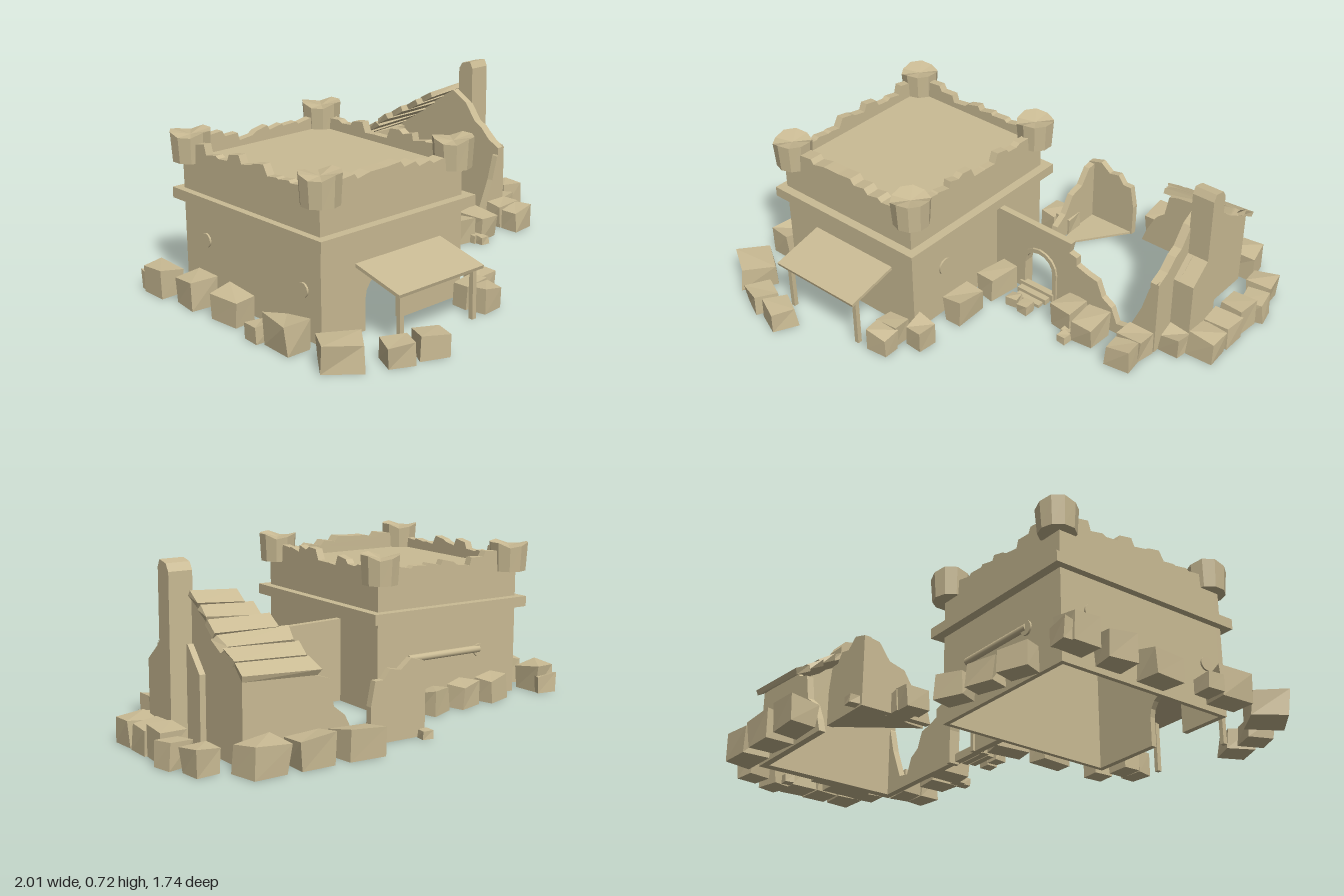
import * as THREE from 'three';

const sandstone = new THREE.MeshStandardMaterial({ color: 0xcabb94 });
sandstone.name = 'sandstone';

export function createModel() {
  const root = new THREE.Group();
  root.name = 'ruinedFort';
  let seed = 7;
  const rnd = () => (seed = (seed * 16807) % 2147483647) / 2147483647;

  const add = (geo, name, parent) => {
    const m = new THREE.Mesh(geo, sandstone);
    m.name = name;
    parent.add(m);
    return m;
  };
  const group = (name) => {
    const g = new THREE.Group();
    g.name = name;
    root.add(g);
    return g;
  };
  const faceted = (geo) => {
    const g = geo.toNonIndexed();
    g.computeVertexNormals();
    return g;
  };
  // box from min and max corners
  const block = (x0, x1, y0, y1, z0, z1, name, parent) => {
    const m = add(new THREE.BoxGeometry(x1 - x0, y1 - y0, z1 - z0), name, parent);
    m.position.set((x0 + x1) / 2, (y0 + y1) / 2, (z0 + z1) / 2);
  };
  // irregular block: each corner pulled inwards, bottom kept level
  const roughGeo = (w, h, d, amount) => {
    const g = new THREE.BoxGeometry(w, h, d);
    const shift = Array.from({ length: 8 }, () => [rnd(), rnd(), rnd()]);
    const p = g.attributes.position;
    for (let i = 0; i < p.count; i++) {
      const [x, y, z] = [p.getX(i), p.getY(i), p.getZ(i)];
      const s = shift[(x > 0 ? 1 : 0) + (y > 0 ? 2 : 0) + (z > 0 ? 4 : 0)];
      p.setXYZ(i, x * (1 - amount * s[0]), y > 0 ? y - h * amount * s[1] : y, z * (1 - amount * s[2]));
    }
    return faceted(g);
  };
  // upright slab from an outline, starting at z = at, or at x = at when it runs along z
  const slab = (pts, at, t, name, parent, alongZ = false) => {
    const s = new THREE.Shape(pts.map(([u, v]) => new THREE.Vector2(u, v)));
    const g = new THREE.ExtrudeGeometry(s, { depth: t, bevelEnabled: false });
    if (alongZ) g.rotateY(-Math.PI / 2).translate(at + t, 0, 0);
    else g.translate(0, 0, at);
    return add(g, name, parent);
  };
  // arched opening traced from left foot to right foot
  const arch = (x0, x1, top) => {
    const r = (x1 - x0) / 2, c = (x0 + x1) / 2, pts = [[x0, 0]];
    for (let i = 0; i <= 8; i++) {
      const a = Math.PI * (1 - i / 8);
      pts.push([c + r * Math.cos(a), top - r + r * Math.sin(a)]);
    }
    return [...pts, [x1, 0]];
  };

  // Keep: hollow shell, open below, with an arched doorway in the front
  const keep = group('keep');
  block(-0.82, -0.08, 0, 0.56, -0.36, -0.34, 'keepBackWall', keep);
  for (const x of [-0.82, -0.1]) block(x, x + 0.02, 0, 0.56, -0.34, 0.455, 'keepSideWall', keep);
  slab([[-0.82, 0], ...arch(-0.6, -0.42, 0.22), [-0.08, 0], [-0.08, 0.56], [-0.82, 0.56]],
    0.455, 0.025, 'keepFrontWall', keep);
  block(-0.8, -0.1, 0.54, 0.56, -0.34, 0.455, 'keepRoof', keep);
  block(-0.85, -0.04, 0.385, 0.43, 0.48, 0.52, 'frontLedge', keep);
  block(-0.85, -0.04, 0.385, 0.43, -0.4, -0.36, 'backLedge', keep);
  block(-0.85, -0.82, 0.385, 0.43, -0.36, 0.48, 'rightLedge', keep);
  block(-0.08, -0.04, 0.385, 0.43, -0.36, 0.48, 'leftLedge', keep);

  // Worn parapet: uneven strips along the four edges
  const jagged = (a, b, n) => {
    const pts = [[a, 0.55], [b, 0.55]], step = (b - a) / n;
    for (let i = n - 1; i >= 0; i--) {
      const y = 0.59 + rnd() * 0.055;
      pts.push([a + step * (i + 0.95), y], [a + step * (i + 0.3 * rnd()), y - rnd() * 0.015]);
    }
    return pts;
  };
  slab(jagged(-0.8, -0.1, 9), 0.42, 0.06, 'frontParapet', keep);
  slab(jagged(-0.8, -0.1, 9), -0.36, 0.035, 'backParapet', keep);
  slab(jagged(-0.36, 0.46, 11), -0.82, 0.035, 'rightParapet', keep, true);
  slab(jagged(-0.36, 0.46, 11), -0.115, 0.035, 'leftParapet', keep, true);

  // Corner turrets with uneven tops
  for (const x of [-0.79, -0.1]) {
    for (const z of [-0.345, 0.45]) {
      const g = new THREE.CylinderGeometry(0.085, 0.077, 0.13, 10);
      const p = g.attributes.position;
      for (let i = 0; i < p.count; i++) {
        if (p.getY(i) > 0) p.setY(i, 0.05 + 0.012 * Math.sin(p.getX(i) * 30 + x * 9 + p.getZ(i) * 25));
      }
      add(faceted(g), 'turret', keep).position.set(x, 0.61, z);
    }
  }

  // Round ports and a half-sunk timber on the walls
  const rod = (r, len, x, y, z, alongX, name) => {
    const m = add(new THREE.CylinderGeometry(r, r, len, 12), name, keep);
    if (alongX) m.rotation.z = Math.PI / 2;
    else m.rotation.x = Math.PI / 2;
    m.position.set(x, y, z);
  };
  rod(0.04, 0.016, -0.08, 0.235, 0.28, true, 'port');
  rod(0.03, 0.016, -0.82, 0.24, -0.22, true, 'port');
  rod(0.03, 0.016, -0.82, 0.2, 0.38, true, 'port');
  rod(0.03, 0.016, -0.62, 0.21, -0.36, false, 'port');
  rod(0.016, 0.38, -0.43, 0.215, -0.36, true, 'wallTimber');

  // Porch: sloping canopy on two posts
  const porch = group('porch');
  const canopy = add(new THREE.BoxGeometry(0.45, 0.014, 0.25), 'canopy', porch);
  canopy.position.set(-0.425, 0.25, 0.595);
  canopy.rotation.x = 0.24;
  for (const x of [-0.61, -0.22]) block(x - 0.01, x + 0.01, 0, 0.225, 0.67, 0.69, 'porchPost', porch);

  // Ruined house: front wall with arched door, crumbling to the ground
  const house = group('ruinedHouse');
  const door = arch(0.09, 0.24, 0.225);
  slab([[-0.08, 0], ...door, [0.76, 0], [0.77, 0.36], [0.73, 0.31], [0.7, 0.2], [0.64, 0.06], [0.58, 0.05],
    [0.55, 0.12], [0.5, 0.15], [0.47, 0.22], [0.42, 0.23], [0.36, 0.25], [0.36, 0.29], [0.32, 0.3], [0.33, 0.35],
    [-0.08, 0.36]], -0.09, 0.03, 'houseFrontWall', house);
  slab([...arch(0.07, 0.26, 0.245), ...door.slice().reverse()], -0.1, 0.05, 'doorSurround', house);

  // Gable wall and rear walls
  slab([[-0.72, 0], [-0.06, 0], [-0.06, 0.35], [-0.12, 0.38], [-0.17, 0.43], [-0.21, 0.45], [-0.27, 0.53],
    [-0.36, 0.58], [-0.72, 0.34]], 0.735, 0.04, 'gableWall', house, true);
  slab([[0.27, 0], [0.77, 0], [0.77, 0.34], [0.5, 0.34], [0.46, 0.31], [0.4, 0.29], [0.38, 0.18], [0.33, 0.14],
    [0.29, 0.06]], -0.72, 0.03, 'houseBackWall', house);
  slab([[-0.05, 0], [0.21, 0], [0.21, 0.15], [0.19, 0.25], [0.15, 0.25], [0.12, 0.29], [0.07, 0.28], [0.02, 0.32],
    [-0.05, 0.3]], -0.72, 0.03, 'brokenBackWall', house);
  slab([[-0.71, 0], [-0.4, 0], [-0.42, 0.08], [-0.48, 0.12], [-0.53, 0.2], [-0.6, 0.22], [-0.65, 0.29],
    [-0.71, 0.3]], -0.05, 0.03, 'brokenSideWall', house, true);
  slab([[-0.03, 0.7], [0.21, 0.7], [0, 0.4]], 0, 0.01, 'cornerFloor', house).rotation.x = -Math.PI / 2;

  // Chimney with wide foot and sloping shoulders
  slab([[-0.45, 0], [-0.17, 0], [-0.17, 0.32], [-0.26, 0.4], [-0.36, 0.4], [-0.45, 0.3]],
    0.77, 0.03, 'chimneyBreast', house, true);
  slab([[-0.35, 0], [-0.17, 0], [-0.17, 0.32], [-0.265, 0.4], [-0.265, 0.69], [-0.28, 0.72], [-0.33, 0.71],
    [-0.35, 0.68]], 0.77, 0.1, 'chimney', house, true);

  // Remaining roof planks, overlapping down the slope
  [0.58, 0.54, 0.5, 0.47, 0.46, 0.45].forEach((x0, i) => {
    const plank = add(roughGeo(0.8 - x0, 0.028, 0.085, 0.15), 'roofPlank', house);
    plank.position.set((x0 + 0.8) / 2, 0.57 - i * 0.043, -0.39 - i * 0.064);
    plank.rotation.set(-0.5, 0, rnd() * 0.08);
  });

  // Doorstep planks
  for (let i = 0; i < 3; i++) {
    const z = -0.07 + i * 0.035;
    block(0.07 + i * 0.015, 0.25 - i * 0.01, 0.01, 0.045 - i * 0.01, z, z + 0.03, 'doorstep', house);
  }

  // Rubble: rows of rocks from one point to another
  const rubble = group('rubble');
  const rockRow = (x0, z0, x1, z1, count, w, d, h = 0.13, turn = 0) => {
    for (let i = 0; i < count; i++) {
      const t = i / Math.max(count - 1, 1);
      const m = add(roughGeo(w, h, d, 0.25), 'rock', rubble);
      m.position.set(x0 + (x1 - x0) * t, h / 2, z0 + (z1 - z0) * t);
      m.rotation.y = turn + (rnd() - 0.5) * 0.2;
    }
  };
  rockRow(-0.93, -0.38, -0.91, -0.18, 2, 0.12, 0.15); // right of the keep
  rockRow(-0.93, -0.44, -0.93, -0.44, 1, 0.1, 0.07, 0.09);
  rockRow(-0.9, 0.05, -0.92, 0.39, 2, 0.12, 0.17);
  rockRow(-0.94, 0.26, -0.94, 0.26, 1, 0.1, 0.09, 0.08);
  rockRow(-0.88, 0.65, -0.88, 0.65, 1, 0.17, 0.17, 0.13, -0.6); // before the porch
  rockRow(-0.71, 0.77, -0.57, 0.8, 2, 0.13, 0.13, 0.11, -0.4);
  rockRow(-0.12, 0.57, -0.11, 0.65, 2, 0.12, 0.09, 0.11);
  rockRow(0, 0.03, 0, 0.26, 2, 0.1, 0.18, 0.13); // left of the keep
  rockRow(-0.01, 0.52, -0.01, 0.52, 1, 0.1, 0.1, 0.12);
  rockRow(-0.64, -0.42, -0.3, -0.46, 3, 0.14, 0.1, 0.11, 0.3); // behind the keep
  rockRow(-0.12, -0.53, -0.05, -0.54, 2, 0.09, 0.11, 0.1);
  rockRow(0.38, 0.01, 0.51, 0.03, 2, 0.12, 0.15, 0.12); // before the house
  rockRow(0.71, -0.01, 0.71, 0.08, 2, 0.13, 0.1, 0.11);
  rockRow(0.82, -0.21, 0.83, -0.13, 2, 0.11, 0.1, 0.1); // beside the house
  rockRow(0.94, -0.2, 0.94, -0.44, 3, 0.13, 0.13);
  rockRow(0.96, -0.54, 0.92, -0.67, 2, 0.12, 0.11, 0.12, 0.2);
  rockRow(0.33, -0.8, 0.74, -0.8, 3, 0.18, 0.14); // behind the house
  rockRow(0.12, 0.06, 0.19, 0.07, 2, 0.06, 0.06, 0.05); // pebbles
  rockRow(0.43, 0.08, 0.44, 0.12, 2, 0.05, 0.05, 0.04);
  rockRow(0.88, -0.52, -0.03, -0.75, 2, 0.05, 0.05, 0.04);

  return root;
}
